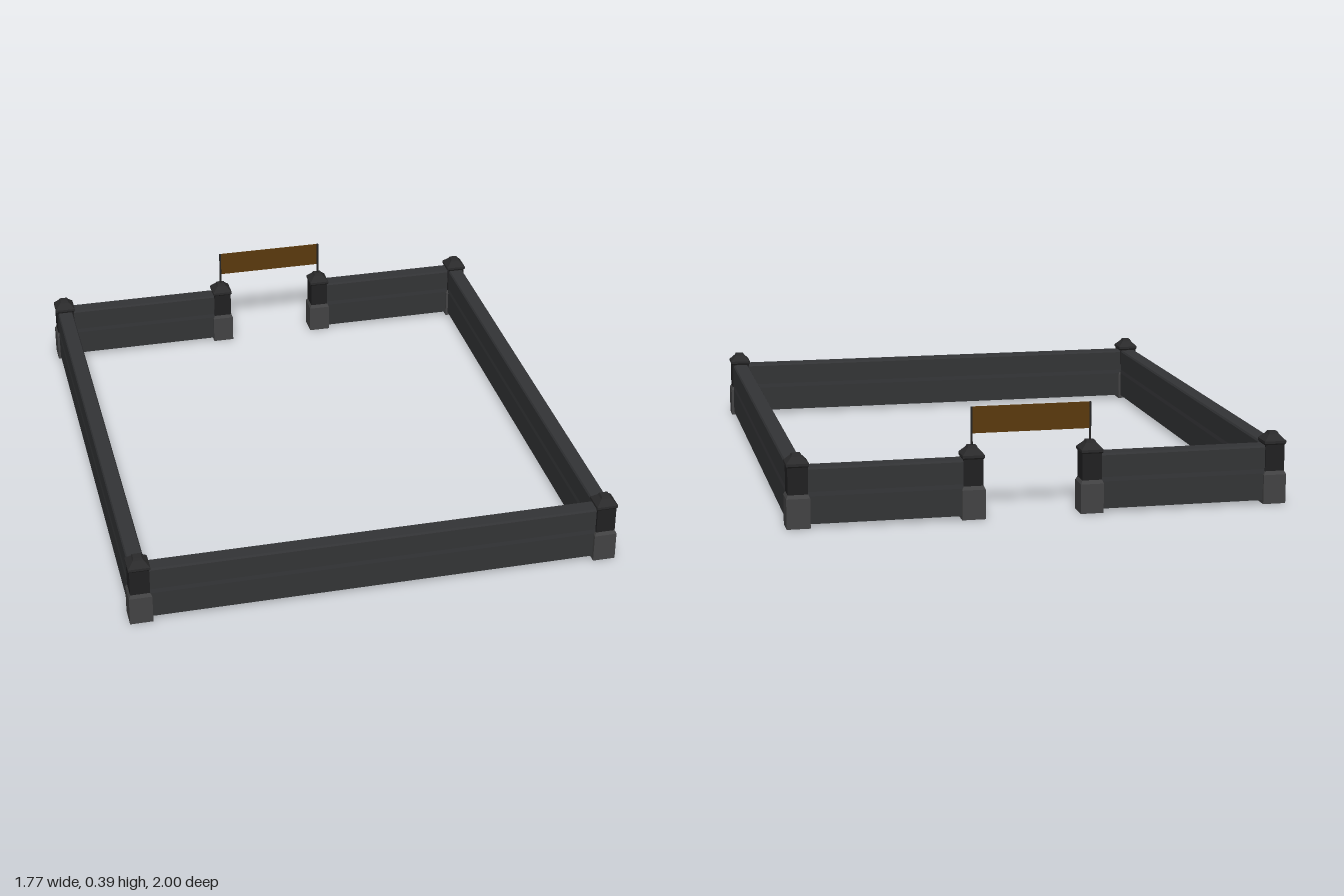
import * as THREE from 'three';

const material = (color) => new THREE.MeshStandardMaterial({ color, flatShading: true });
const X = 0.846, Z = 0.958;

// Square lathe: profile given as [half width, height]
function squareLathe(profile, mat, name) {
  const pts = profile.map(([r, y]) => new THREE.Vector2(r * Math.SQRT2, y));
  const geo = new THREE.LatheGeometry(pts, 4);
  geo.rotateY(Math.PI / 4);
  const mesh = new THREE.Mesh(geo.toNonIndexed(), mat);
  mesh.geometry.computeVertexNormals();
  mesh.name = name;
  return mesh;
}

export function createModel() {
  const root = new THREE.Group();
  root.name = 'enclosure';
  const wallMat = material(0x333436);
  const baseMat = material(0x434344);
  const shaftMat = material(0x202021);
  const capMat = material(0x2a2a2b);
  const poleMat = material(0x262626);
  const signMat = material(0x5a390d);

  // Wall cross-section: slightly tapered, with a thin chamfer along the top
  const half = [[0.032, 0.013], [0.032, 0.11], [0.03, 0.125], [0.03, 0.203], [0.026, 0.21]];
  const section = new THREE.Shape([
    ...half.map(([x, y]) => new THREE.Vector2(x, y)),
    ...half.slice().reverse().map(([x, y]) => new THREE.Vector2(-x, y)),
  ]);

  // Wall between two post centres
  function wall(name, x1, z1, x2, z2) {
    const length = Math.hypot(x2 - x1, z2 - z1);
    const geo = new THREE.ExtrudeGeometry(section, { depth: length, bevelEnabled: false });
    const mesh = new THREE.Mesh(geo, wallMat);
    mesh.position.set(x1, 0, z1);
    mesh.rotation.y = Math.atan2(x2 - x1, z2 - z1);
    mesh.name = name;
    root.add(mesh);
  }

  // Post: wide plinth, narrower shaft, pyramid cap
  function post(name, x, z) {
    const group = new THREE.Group();
    group.name = name;
    group.add(
      squareLathe([[0, 0], [0.041, 0], [0.041, 0.105], [0.035, 0.118], [0, 0.118]], baseMat, 'plinth'),
      squareLathe([[0.035, 0.116], [0.035, 0.214]], shaftMat, 'shaft'),
      squareLathe([[0, 0.212], [0.035, 0.212], [0.039, 0.217], [0.039, 0.226],
        [0.019, 0.247], [0.015, 0.255], [0, 0.255]], capMat, 'cap'),
    );
    group.position.set(x, 0, z);
    root.add(group);
  }

  const gate = [-0.18, 0.24];
  wall('frontWall', -X, Z - 0.005, X, Z - 0.005);
  wall('leftWall', X, -Z, X, Z);
  wall('rightWall', -X, -Z, -X, Z);
  wall('backWallRight', -X, -Z, gate[0], -Z);
  wall('backWallLeft', gate[1], -Z, X, -Z);

  for (const x of [-X, X]) for (const z of [-Z, Z]) post('cornerPost', x, z);

  // Gate posts with sign poles
  for (const x of gate) {
    post('gatePost', x, -Z);
    const pole = new THREE.Mesh(new THREE.CylinderGeometry(0.004, 0.004, 0.145, 8), poleMat);
    pole.position.set(x, 0.3175, -Z);
    pole.name = 'signPole';
    root.add(pole);
  }

  // Blank sign board over the gateway
  const sign = new THREE.Mesh(new THREE.BoxGeometry(gate[1] - gate[0], 0.094, 0.003), signMat);
  sign.position.set((gate[0] + gate[1]) / 2, 0.343, -Z);
  sign.name = 'signBoard';
  root.add(sign);

  return root;
}
